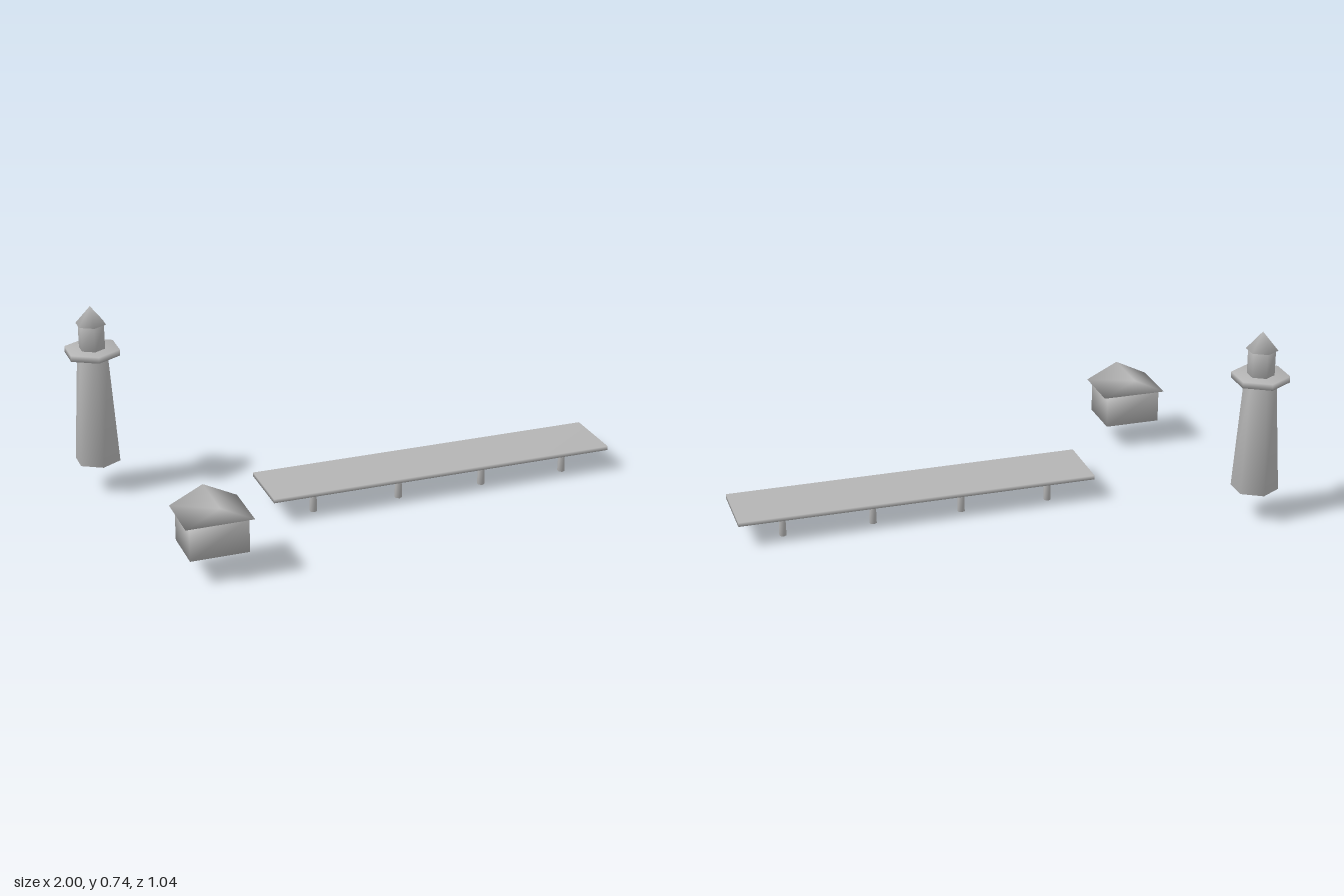
import * as THREE from 'three';
import { mergeVertices } from 'three/addons/utils/BufferGeometryUtils.js';

const grey = new THREE.MeshStandardMaterial({ color: 0xb4b4b4 });
grey.name = 'grey';

// Weld corners so shading runs smoothly across every edge
function soften(geometry) {
  geometry.deleteAttribute('normal');
  geometry.deleteAttribute('uv');
  const welded = mergeVertices(geometry, 1e-4);
  welded.computeVertexNormals();
  return welded;
}

function add(parent, name, geometry, x, y, z) {
  const mesh = new THREE.Mesh(soften(geometry), grey);
  mesh.name = name;
  mesh.position.set(x, y, z);
  parent.add(mesh);
}

// Six-sided column between two heights
function column(parent, name, rTop, rBottom, y0, y1, x = 0, z = 0) {
  const geometry = new THREE.CylinderGeometry(rTop, rBottom, y1 - y0, 6);
  add(parent, name, geometry, x, (y0 + y1) / 2, z);
}

function group(parent, name, x, z) {
  const g = new THREE.Group();
  g.name = name;
  g.position.set(x, 0, z);
  parent.add(g);
  return g;
}

export function createModel() {
  const model = new THREE.Group();
  model.name = 'harbour';

  // Lighthouse
  const lighthouse = group(model, 'lighthouse', -0.907, -0.41);
  column(lighthouse, 'tower', 0.06, 0.089, 0.115, 0.549);
  column(lighthouse, 'gallery', 0.108, 0.108, 0.549, 0.573);
  column(lighthouse, 'lantern', 0.051, 0.051, 0.573, 0.67);
  const cap = new THREE.ConeGeometry(0.0595, 0.07, 6);
  add(lighthouse, 'lanternRoof', cap, 0, 0.705, 0);

  // Hut with a gable roof, ridge along z
  const hut = group(model, 'hut', -0.695, 0.412);
  add(hut, 'hutWalls', new THREE.BoxGeometry(0.219, 0.131, 0.183), 0, 0.1595, 0);
  const gable = new THREE.Shape([
    new THREE.Vector2(-0.126, 0),
    new THREE.Vector2(0.126, 0),
    new THREE.Vector2(0, 0.063),
  ]);
  const roof = new THREE.ExtrudeGeometry(gable, { depth: 0.212, bevelEnabled: false });
  add(hut, 'hutRoof', roof, 0, 0.225, -0.106);

  // Pier on two rows of posts
  const pier = group(model, 'pier', 0.3115, 0.0145);
  add(pier, 'deck', new THREE.BoxGeometry(1.377, 0.016, 0.253), 0, 0.092, 0);
  for (let i = 0; i < 4; i++) {
    for (const side of [-1, 1]) {
      column(pier, 'post', 0.0125, 0.0145, 0, 0.085, (i - 1.5) * 0.344, side * 0.072);
    }
  }
  return model;
}
